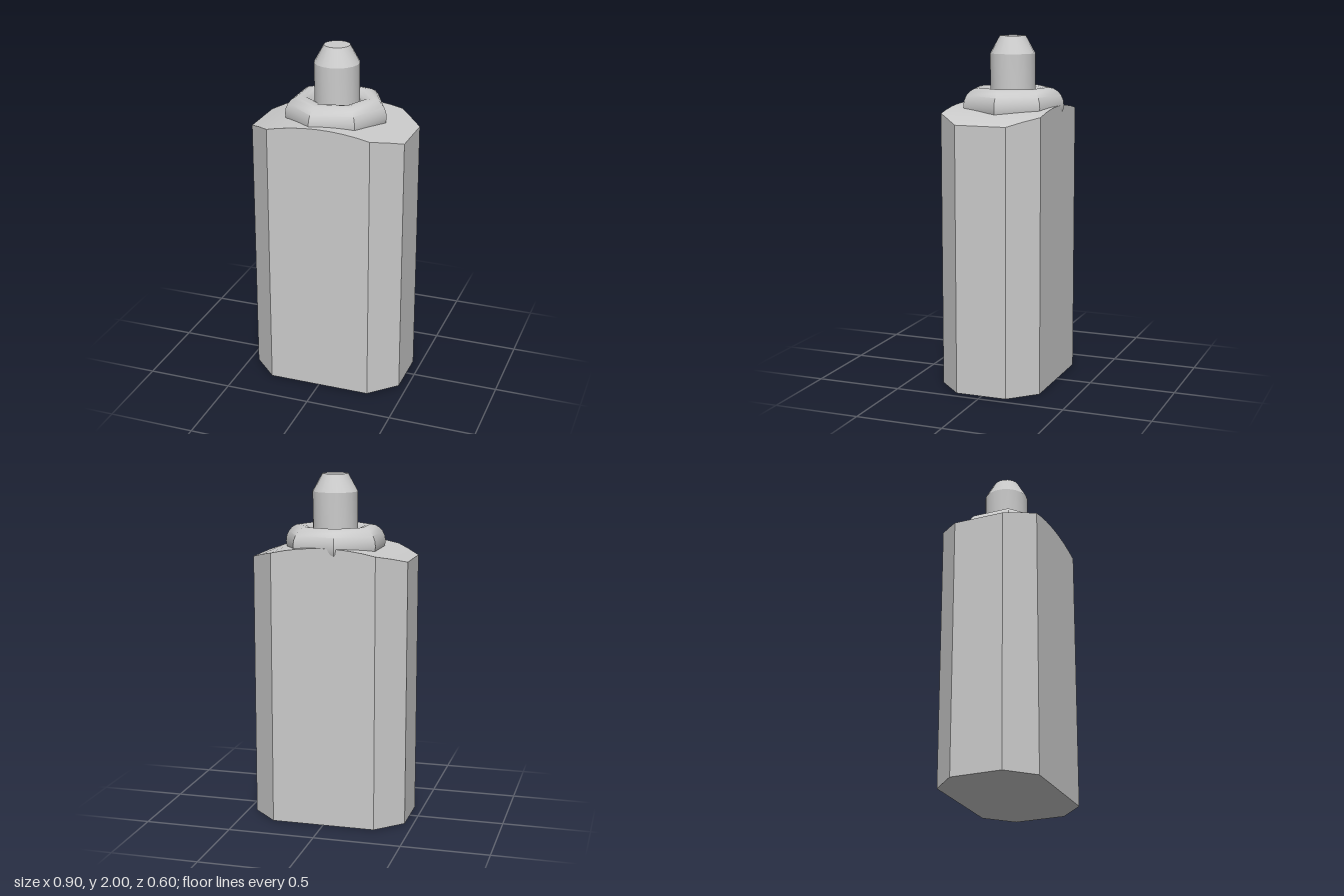
import * as THREE from 'three';
import { toCreasedNormals } from 'three/addons/utils/BufferGeometryUtils.js';

const material = new THREE.MeshStandardMaterial({ color: 0xcccccc });
const AXIS_Z = -0.016; // shared centre of the collar and the peg

function part(name, geometry, crease) {
  const mesh = new THREE.Mesh(toCreasedNormals(geometry, crease), material);
  mesh.name = name;
  return mesh;
}

// Box with chamfered upright corners and a top that arches along x
function bodyGeometry() {
  const geometry = new THREE.BoxGeometry(0.9, 1, 2, 12, 1, 1);
  const p = geometry.attributes.position;
  for (let i = 0; i < p.count; i++) {
    const x = p.getX(i);
    const halfDepth = Math.min(0.297, 0.149 + (0.45 - Math.abs(x)) * 0.987);
    const top = 1.608 - 0.39 * x * x;
    p.setY(i, p.getY(i) > 0 ? top : 0);
    p.setZ(i, 0.004 + Math.sign(p.getZ(i)) * halfDepth);
  }
  return geometry;
}

// Seven-sided ring, round in section
function collarGeometry() {
  const geometry = new THREE.TorusGeometry(0.204, 0.09, 20, 7);
  geometry.scale(1, 1, 1.11);
  geometry.rotateX(-Math.PI / 2);
  geometry.translate(0, 1.608, AXIS_Z);
  return geometry;
}

// Round peg with a tapered, flat tip
function pegGeometry() {
  const profile = [[0, 1.5], [0.129, 1.5], [0.129, 1.9], [0.074, 2], [0, 2]];
  const geometry = new THREE.LatheGeometry(profile.map(([r, y]) => new THREE.Vector2(r, y)), 18);
  geometry.translate(0, 0, AXIS_Z);
  return geometry;
}

export function createModel() {
  const model = new THREE.Group();
  model.name = 'model';
  model.add(
    part('body', bodyGeometry(), 0.5),
    part('collar', collarGeometry(), 0.7),
    part('peg', pegGeometry(), 0.45),
  );
  return model;
}
